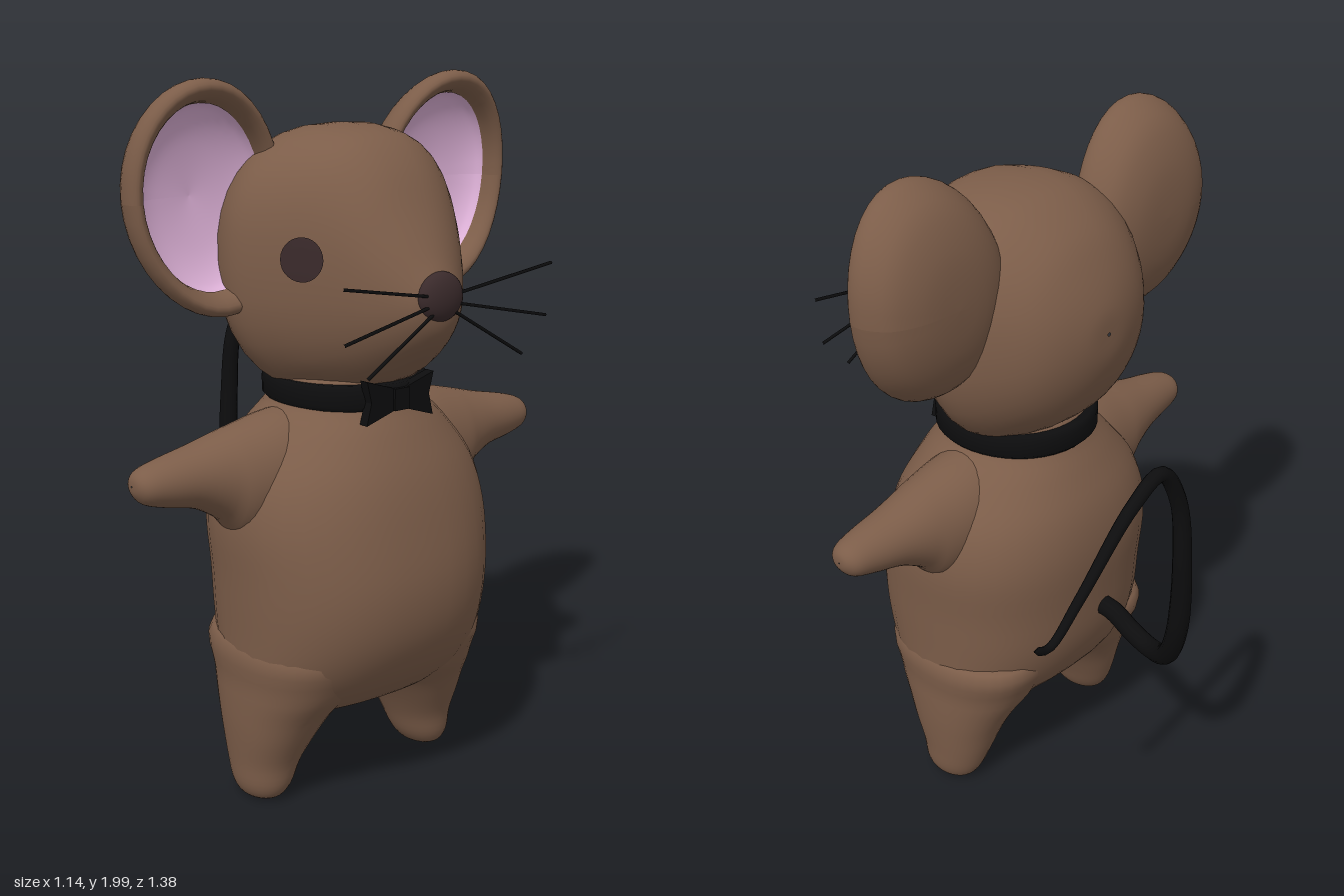
import * as THREE from 'three';

const mat = (name, color) => Object.assign(new THREE.MeshStandardMaterial({ color }), { name });

// Catmull-Rom value of column k at fractional row t
function spline(rows, k, t) {
  const i = Math.min(Math.floor(t), rows.length - 2), f = t - i;
  const v = (j) => rows[Math.max(0, Math.min(rows.length - 1, j))][k];
  const a = v(i - 1), b = v(i), c = v(i + 1), d = v(i + 2);
  return b + 0.5 * f * (c - a + f * (2 * a - 5 * b + 4 * c - d + f * (3 * (b - c) + d - a)));
}

// Smooth closed skin over sections [p, aMin, aMax, bMin, bMax, roundness].
// Axis x uses (a, b) = (y, z); axis y uses (z, x); axis z uses (x, y).
function loft(axis, rows, steps = 4, sides = 36) {
  const pos = [], index = [], rings = (rows.length - 1) * steps;
  for (let i = 0; i <= rings; i++) {
    const [p, a0, a1, b0, b1, n] = [0, 1, 2, 3, 4, 5].map((k) => spline(rows, k, i / steps));
    for (let j = 0; j < sides; j++) {
      const ang = (j / sides) * Math.PI * 2, c = Math.cos(ang), s = Math.sin(ang);
      const a = (a0 + a1) / 2 + ((a1 - a0) / 2) * Math.sign(c) * Math.abs(c) ** (2 / n);
      const b = (b0 + b1) / 2 + ((b1 - b0) / 2) * Math.sign(s) * Math.abs(s) ** (2 / n);
      pos.push(...(axis === 'x' ? [p, a, b] : axis === 'y' ? [b, p, a] : [a, b, p]));
      if (i < rings) {
        const q = i * sides + j, r = i * sides + ((j + 1) % sides);
        index.push(q, r, r + sides, q, r + sides, q + sides);
      }
    }
  }
  const g = new THREE.BufferGeometry();
  g.setAttribute('position', new THREE.Float32BufferAttribute(pos, 3));
  g.setIndex(index);
  g.computeVertexNormals();
  return g;
}

// Copy reflected across z = 0, with the faces turned the right way out
function mirrored(geo) {
  const g = geo.clone().scale(1, 1, -1), ix = g.index.array;
  for (let i = 0; i < ix.length; i += 3) [ix[i], ix[i + 1]] = [ix[i + 1], ix[i]];
  return g;
}

// Shallow cup opening towards +x; profile is [radius, depth]
function earPart(profile) {
  const curve = new THREE.SplineCurve(profile.map((p) => new THREE.Vector2(...p)));
  const g = new THREE.LatheGeometry(curve.getPoints(24), 40);
  g.rotateZ(-Math.PI / 2);
  g.scale(1, 0.31, 0.24);
  const p = g.attributes.position;
  for (let i = 0; i < p.count; i++) {
    const y = p.getY(i);
    p.setX(i, p.getX(i) + 0.04 * (y / 0.31) ** 2);
    p.setZ(i, p.getZ(i) + 0.08 * y);
  }
  g.computeVertexNormals();
  return g.translate(0.06, 1.69, 0.4);
}

export function createModel() {
  const root = new THREE.Group();
  root.name = 'mouse';
  const fur = mat('brownFur', 0x7c5d49);
  const pink = mat('pinkEar', 0xdcb0d6);
  const dark = mat('darkBrown', 0x3a2a2b);
  const black = mat('black', 0x0d0d0e);
  pink.side = THREE.DoubleSide;

  const add = (name, geo, material) => {
    const m = new THREE.Mesh(geo, material);
    m.name = name;
    root.add(m);
    return m;
  };
  const addPair = (name, geo, material) => {
    add(name + 'A', geo, material);
    add(name + 'B', mirrored(geo), material);
  };

  // Torso
  add('body', loft('y', [
    [0.255, -0.01, 0.01, 0.15, 0.17, 2],
    [0.26, -0.26, 0.26, 0.04, 0.28, 2.2],
    [0.31, -0.36, 0.36, -0.04, 0.36, 2.3],
    [0.4, -0.385, 0.385, -0.11, 0.44, 2.3],
    [0.52, -0.39, 0.39, -0.155, 0.495, 2.3],
    [0.66, -0.395, 0.395, -0.17, 0.51, 2.3],
    [0.82, -0.4, 0.4, -0.18, 0.485, 2.3],
    [0.95, -0.37, 0.37, -0.16, 0.45, 2.2],
    [1.06, -0.29, 0.29, -0.11, 0.4, 2.1],
    [1.14, -0.215, 0.215, -0.065, 0.355, 2],
    [1.22, -0.19, 0.19, -0.04, 0.33, 2],
    [1.23, -0.01, 0.01, 0.13, 0.15, 2],
  ]), fur);

  // Legs
  addPair('leg', loft('y', [
    [0.005, 0.29, 0.3, 0.13, 0.15, 2],
    [0.012, 0.25, 0.345, 0.08, 0.21, 2],
    [0.05, 0.215, 0.37, 0.05, 0.24, 2],
    [0.12, 0.185, 0.378, 0.025, 0.255, 2.1],
    [0.2, 0.145, 0.386, 0, 0.29, 2.2],
    [0.27, 0.1, 0.39, -0.03, 0.325, 2.2],
    [0.36, 0.03, 0.39, -0.075, 0.38, 2.2],
    [0.48, 0.03, 0.385, -0.1, 0.4, 2.2],
    [0.56, 0.15, 0.25, 0.1, 0.2, 2],
  ]), fur);

  // Arms
  addPair('arm', loft('z', [
    [0.1, 0, 0.28, 0.8, 1.13, 2],
    [0.25, 0, 0.28, 0.79, 1.12, 2],
    [0.37, 0.015, 0.265, 0.79, 1.095, 2],
    [0.43, 0.03, 0.245, 0.845, 1.08, 2],
    [0.51, 0.05, 0.225, 0.89, 1.06, 2],
    [0.6, 0.07, 0.21, 0.91, 1.042, 2],
    [0.66, 0.085, 0.195, 0.928, 1.025, 2],
    [0.685, 0.11, 0.17, 0.955, 1.005, 2],
    [0.69, 0.135, 0.14, 0.978, 0.982, 2],
  ]), fur);

  // Head, lofted from the back to the muzzle
  const head = add('head', loft('x', [
    [-0.2, 1.52, 1.53, -0.005, 0.005, 2],
    [-0.195, 1.44, 1.6, -0.08, 0.08, 2],
    [-0.16, 1.34, 1.69, -0.18, 0.18, 2.1],
    [-0.1, 1.25, 1.78, -0.255, 0.255, 2.2],
    [0, 1.175, 1.85, -0.325, 0.325, 2.3],
    [0.1, 1.14, 1.872, -0.348, 0.348, 2.4],
    [0.2, 1.15, 1.87, -0.312, 0.312, 2.4],
    [0.3, 1.18, 1.845, -0.255, 0.255, 2.4],
    [0.38, 1.215, 1.775, -0.205, 0.205, 2.3],
    [0.45, 1.265, 1.66, -0.155, 0.155, 2.2],
    [0.51, 1.32, 1.555, -0.1, 0.1, 2],
    [0.54, 1.37, 1.5, -0.06, 0.06, 2],
    [0.55, 1.43, 1.44, -0.005, 0.005, 2],
  ]), fur);

  // Ears: furry cup with a pink lining
  addPair('ear', earPart([[0, -0.12], [0.45, -0.115], [0.8, -0.085], [0.97, -0.03],
    [0.99, 0.015], [0.92, 0.04], [0.83, 0.025], [0.79, -0.01]]), fur);
  addPair('earLining', earPart([[0.81, 0], [0.74, -0.035], [0.5, -0.06], [0, -0.075]]), pink);

  // Eyes: thin discs laid onto the head surface
  const ray = new THREE.Raycaster();
  head.updateMatrixWorld();
  for (const s of [1, -1]) {
    const g = new THREE.RingGeometry(0.001, 1, 28, 4);
    if (s < 0) g.rotateY(Math.PI);
    g.scale(0.051, 0.058, 1);
    const p = g.attributes.position;
    for (let i = 0; i < p.count; i++) {
      const x = p.getX(i) + 0.295, y = p.getY(i) + 1.545;
      ray.set(new THREE.Vector3(x, y, s * 2), new THREE.Vector3(0, 0, -s));
      const hit = ray.intersectObject(head)[0];
      p.setXYZ(i, x, y, (hit ? hit.point.z : s * 0.25) + s * 0.006);
    }
    g.computeVertexNormals();
    add(s > 0 ? 'eyeA' : 'eyeB', g, dark);
  }

  // Nose
  add('nose', new THREE.SphereGeometry(1, 24, 16).scale(0.035, 0.066, 0.073), dark)
    .position.set(0.533, 1.455, 0);

  // Whiskers
  for (const [y0, y1, z1] of [[1.46, 1.51, 0.33], [1.44, 1.37, 0.325], [1.42, 1.275, 0.25],
    [1.46, 1.51, -0.38], [1.44, 1.37, -0.365], [1.42, 1.275, -0.28]]) {
    const path = new THREE.LineCurve3(
      new THREE.Vector3(0.55, y0, Math.sign(z1) * 0.03), new THREE.Vector3(0.55, y1, z1));
    add('whisker', new THREE.TubeGeometry(path, 1, 0.0045, 6), black);
  }

  // Collar band
  const band = [[0.18, -0.035], [0.225, -0.035], [0.238, -0.022], [0.238, 0.022], [0.225, 0.035], [0.18, 0.035]];
  add('collar', new THREE.LatheGeometry(band.map((p) => new THREE.Vector2(...p)), 40)
    .scale(1, 1, 0.96), black).position.set(0.147, 1.165, 0);

  // Bow tie
  const bow = new THREE.Shape([[-0.115, -0.06], [-0.02, -0.03], [0.02, -0.03], [0.115, -0.06],
    [0.1, 0], [0.115, 0.06], [0.02, 0.03], [-0.02, 0.03], [-0.115, 0.06], [-0.1, 0]]
    .map((p) => new THREE.Vector2(...p)));
  add('bowTie', new THREE.ExtrudeGeometry(bow, { depth: 0.03, bevelEnabled: false })
    .rotateY(Math.PI / 2), black).position.set(0.355, 1.16, 0);
  add('bowKnot', new THREE.BoxGeometry(0.04, 0.06, 0.05), black).position.set(0.372, 1.16, 0);

  // Tapering tail that rises behind and droops to one side
  const path = new THREE.CatmullRomCurve3([[-0.13, 0.6, 0.045], [-0.2, 0.595, 0.045], [-0.27, 0.56, 0.045],
    [-0.36, 0.55, 0.03], [-0.45, 0.605, -0.015], [-0.52, 0.75, -0.06], [-0.543, 0.98, -0.08],
    [-0.535, 1.2, -0.1], [-0.53, 1.31, -0.17], [-0.53, 1.26, -0.28], [-0.53, 1.08, -0.47],
    [-0.53, 0.99, -0.58], [-0.53, 1.01, -0.635]].map((p) => new THREE.Vector3(...p)));
  const segs = 80, sides = 12;
  const tail = new THREE.TubeGeometry(path, segs, 0.03, sides);
  const tp = tail.attributes.position, v = new THREE.Vector3();
  for (let i = 0; i < tp.count; i++) {
    const t = Math.floor(i / (sides + 1)) / segs;
    const k = t > 0.999 ? 0.02 : 1 - 0.65 * Math.max(0, (t - 0.35) / 0.65);
    const c = path.getPointAt(t);
    v.fromBufferAttribute(tp, i).sub(c).multiplyScalar(k).add(c);
    tp.setXYZ(i, v.x, v.y, v.z);
  }
  add('tail', tail, black);

  return root;
}
